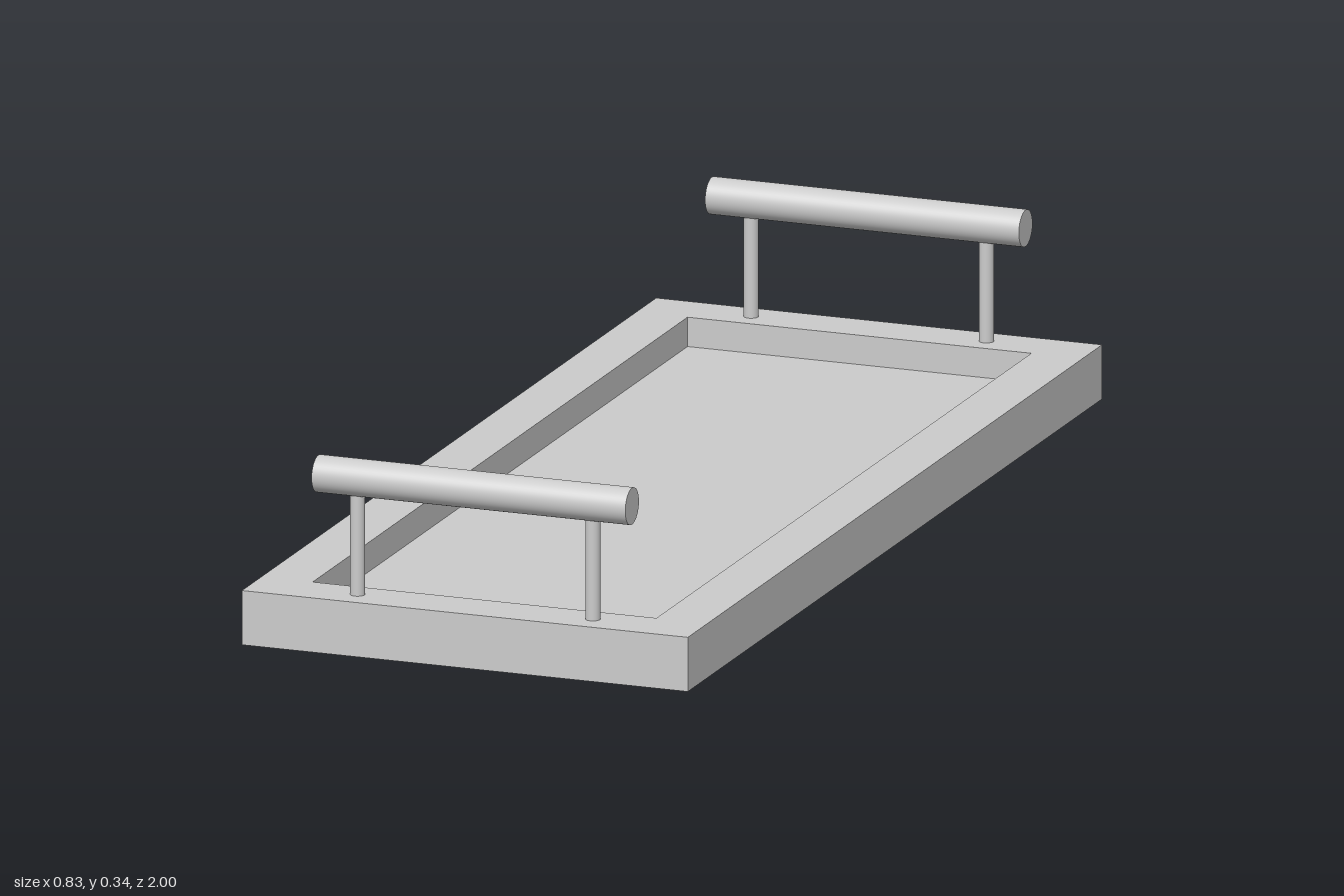
import * as THREE from 'three';

const HALF_W = 0.415, HALF_L = 1, RAIL = 0.095, HEIGHT = 0.098, FLOOR = 0.045;
const material = new THREE.MeshStandardMaterial({ color: 0xcccccc });

function addMesh(parent, name, geometry, x = 0, y = 0, z = 0) {
  const mesh = new THREE.Mesh(geometry, material);
  mesh.name = name;
  mesh.position.set(x, y, z);
  parent.add(mesh);
  return mesh;
}

// Rail with 45 degree mitred ends; its outer edge faces +z
function mitredRail(halfLength) {
  const inner = halfLength - RAIL;
  const shape = new THREE.Shape([
    new THREE.Vector2(-halfLength, 0),
    new THREE.Vector2(halfLength, 0),
    new THREE.Vector2(inner, RAIL),
    new THREE.Vector2(-inner, RAIL),
  ]);
  return new THREE.ExtrudeGeometry(shape, { depth: HEIGHT, bevelEnabled: false }).rotateX(-Math.PI / 2);
}

// Round grip on two slim posts
function createHandle() {
  const handle = new THREE.Group();
  const gripY = 0.309;
  const grip = new THREE.CylinderGeometry(0.033, 0.033, 0.584, 48).rotateZ(Math.PI / 2);
  addMesh(handle, 'grip', grip, 0, gripY, 0);
  const postHeight = gripY - HEIGHT;
  const post = new THREE.CylinderGeometry(0.013, 0.013, postHeight, 32);
  for (const side of [1, -1]) {
    addMesh(handle, side > 0 ? 'leftPost' : 'rightPost', post, side * 0.219, HEIGHT + postHeight / 2, 0);
  }
  return handle;
}

export function createModel() {
  const tray = new THREE.Group();
  tray.name = 'servingTray';

  // Recessed floor, flush with the underside of the frame
  const floor = new THREE.BoxGeometry(2 * (HALF_W - RAIL), FLOOR, 2 * (HALF_L - RAIL));
  addMesh(tray, 'trayFloor', floor, 0, FLOOR / 2, 0);

  // Mitred frame and handles
  const endRail = mitredRail(HALF_W), sideRail = mitredRail(HALF_L);
  for (const side of [1, -1]) {
    const end = side > 0 ? 'front' : 'back';
    addMesh(tray, end + 'Rail', endRail, 0, 0, side * HALF_L).rotation.y = side > 0 ? 0 : Math.PI;
    addMesh(tray, side > 0 ? 'leftRail' : 'rightRail', sideRail, side * HALF_W).rotation.y = side * Math.PI / 2;

    const handle = createHandle();
    handle.name = end + 'Handle';
    handle.position.z = side * 0.95;
    tray.add(handle);
  }
  return tray;
}
